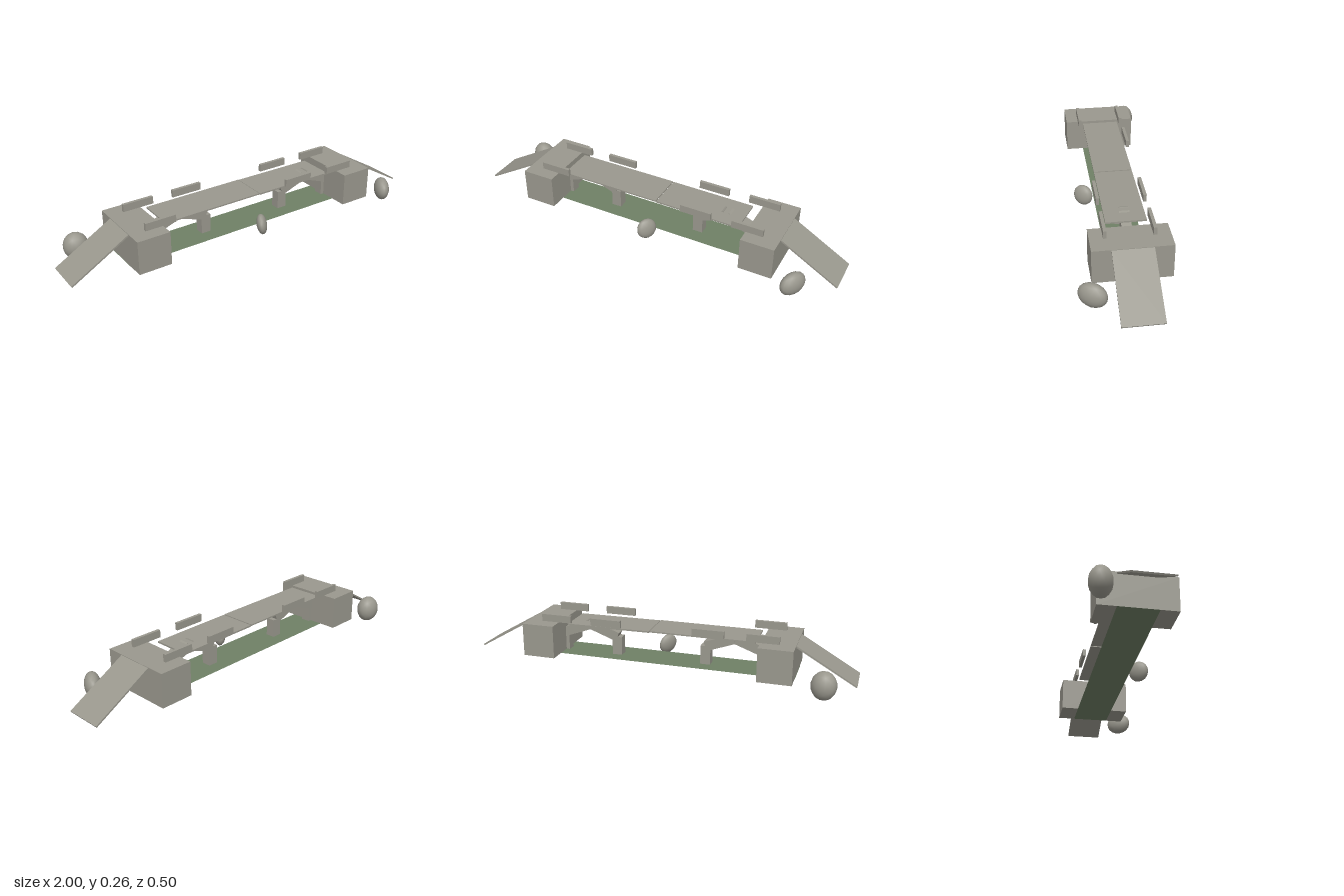
import * as THREE from 'three';

export function createModel() {
  const model = new THREE.Group();
  model.name = 'bridge';

  const stone = new THREE.MeshStandardMaterial({ color: 0x9a988e });
  stone.name = 'stone grey';
  const moss = new THREE.MeshStandardMaterial({ color: 0x6f8066, side: THREE.DoubleSide });
  moss.name = 'moss green';

  const add = (name, geometry, material, x, y, z) => {
    const mesh = new THREE.Mesh(geometry, material);
    mesh.name = name;
    mesh.position.set(x, y, z);
    model.add(mesh);
    return mesh;
  };
  // Box given by its extents on each axis
  const block = (name, x0, x1, y0, y1, z0, z1) =>
    add(name, new THREE.BoxGeometry(x1 - x0, y1 - y0, z1 - z0), stone,
      (x0 + x1) / 2, (y0 + y1) / 2, (z0 + z1) / 2);

  // Green strip running under the whole span
  const strip = new THREE.PlaneGeometry(1.405, 0.193).rotateX(-Math.PI / 2);
  add('riverBed', strip, moss, -0.002, 0.049, -0.009);

  // Deck of two slabs, the second one slightly sagging
  block('deckSlabRight', -0.507, 0.036, 0.215, 0.222, -0.107, 0.087);
  const slab = block('deckSlabLeft', 0.04, 0.485, 0.211, 0.219, -0.107, 0.087);
  slab.rotation.z = -0.006;

  for (const side of [-1, 1]) {
    const label = side > 0 ? 'Left' : 'Right';

    // End block and sloping ramp
    const inner = 0.532 * side, outer = 0.703 * side;
    block('abutment' + label, Math.min(inner, outer), Math.max(inner, outer),
      0.05, 0.223, -0.195, 0.177);
    const ramp = add('ramp' + label, new THREE.BoxGeometry(0.344, 0.008, 0.191), stone,
      side * 0.85, 0.131, -0.008);
    ramp.rotation.z = -side * 0.525;

    // Two posts carrying a pair of braces that meet below the deck
    const apex = side * 0.389;
    for (const s of [-1, 1]) {
      const post = apex + s * 0.15;
      block('post' + label, post - 0.026, post + 0.026, 0.05, 0.147, -0.037, 0.012);
      const brace = add('brace' + label, new THREE.BoxGeometry(0.154, 0.05, 0.049), stone,
        apex + s * 0.079, 0.172, -0.0125);
      brace.rotation.z = -s * 0.35;
    }
  }

  // Parapet stones; one is missing on the front edge
  const rail = (name, x, z) => block(name, x - 0.081, x + 0.081, 0.227, 0.265, z - 0.008, z + 0.008);
  for (const x of [-0.545, -0.272, 0.268, 0.54]) rail('backParapet', x, -0.121);
  for (const x of [-0.545, 0.268, 0.54]) rail('frontParapet', x, 0.106);

  // Boulders: centre, radii, turn about y, tilt about z
  const boulders = [
    [[-0.852, 0.074, -0.2], [0.063, 0.072, 0.054], -0.25, 0.1],
    [[0.81, 0.073, 0.184], [0.04, 0.061, 0.071], -0.54, 0],
    [[0.014, 0.076, 0.142], [0.027, 0.054, 0.053], -0.59, 0.2],
  ];
  for (const [centre, radii, turn, tilt] of boulders) {
    const rock = add('boulder', new THREE.IcosahedronGeometry(1, 2), stone, ...centre);
    rock.scale.set(...radii);
    rock.rotation.set(0, turn, tilt, 'ZYX');
  }

  return model;
}
